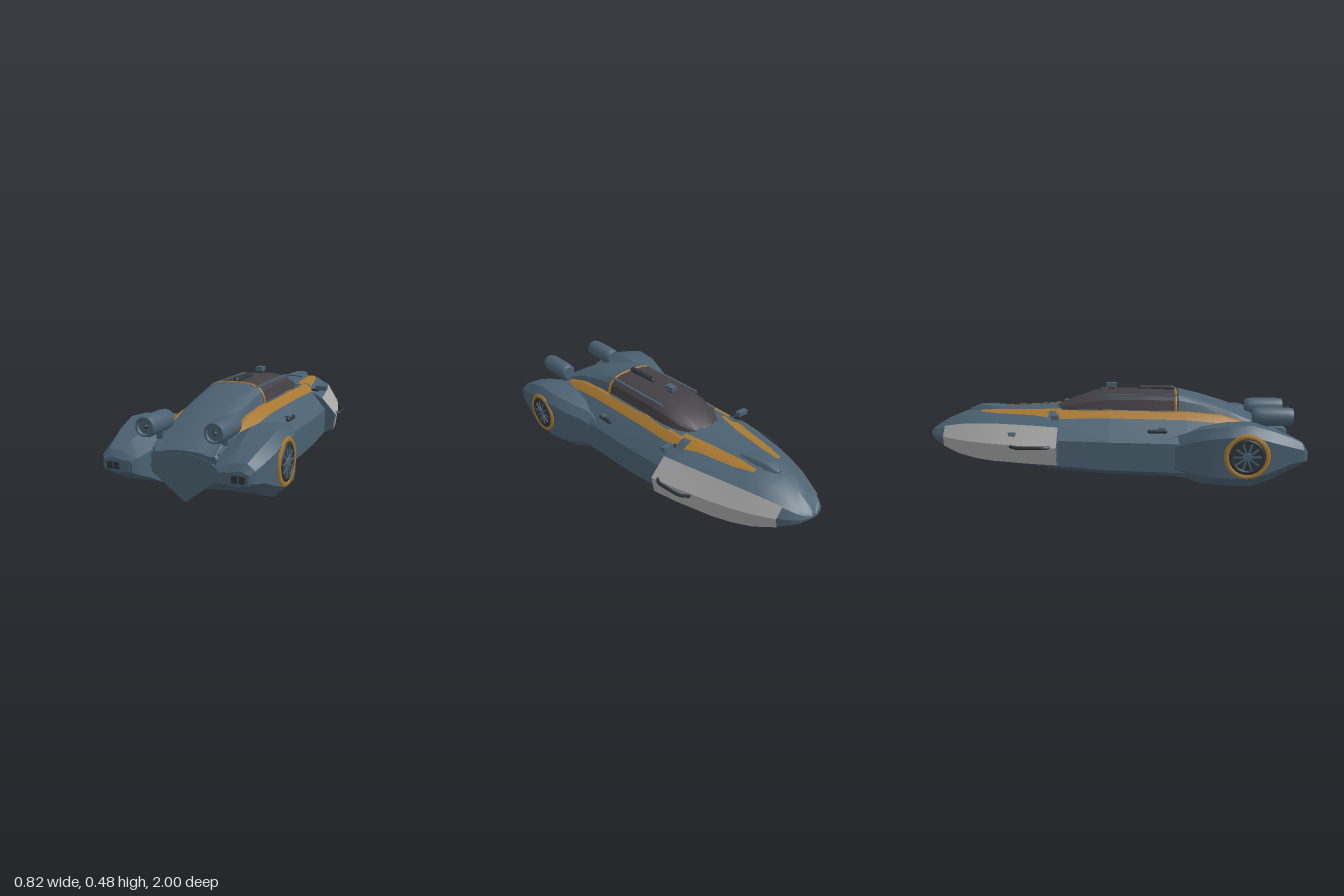
import * as THREE from 'three';
import { toCreasedNormals } from 'three/addons/utils/BufferGeometryUtils.js';

const mat = (color) => new THREE.MeshStandardMaterial({ color, side: THREE.DoubleSide });
const BLUE = mat(0x4a6070), ORANGE = mat(0xa5762f), PALE = mat(0xa6a6a6);
const GLASS = mat(0x433f43), DARK = mat(0x2c343b);

// Skin stretched over cross-sections; each row starts with its z
function skin(rows, profile, closed = true) {
  const rings = rows.map((r) => profile(r).map(([x, y]) => [x, y, r[0]]));
  const n = rings[0].length, pos = [], idx = [];
  rings.forEach((ring) => ring.forEach((p) => pos.push(...p)));
  for (let i = 0; i < rings.length - 1; i++) {
    for (let j = 0; j < (closed ? n : n - 1); j++) {
      const a = i * n + j, b = i * n + (j + 1) % n;
      idx.push(a, a + n, b, b, a + n, b + n);
    }
  }
  if (closed) [0, rings.length - 1].forEach((i) => {
    const c = pos.length / 3, mean = [0, 0, 0];
    rings[i].forEach((p) => p.forEach((v, k) => { mean[k] += v / n; }));
    pos.push(...mean);
    for (let j = 0; j < n; j++) {
      const a = i * n + j, b = i * n + (j + 1) % n;
      idx.push(c, i ? b : a, i ? a : b);
    }
  });
  const g = new THREE.BufferGeometry();
  g.setAttribute('position', new THREE.Float32BufferAttribute(pos, 3));
  g.setIndex(idx);
  return toCreasedNormals(g, 0.4);
}

// Half outline (top centre, round +x, to bottom centre) completed to a full ring
const mirrorRing = (half) => [...half, ...half.slice(1, -1).reverse().map(([x, y]) => [-x, y])];

export function createModel() {
  const model = new THREE.Group();
  const add = (name, geometry, material, x = 0, y = 0, z = 0, parent = model) => {
    const m = new THREE.Mesh(geometry, material);
    m.name = name;
    m.position.set(x, y, z);
    parent.add(m);
    return m;
  };
  const box = (w, h, d) => new THREE.BoxGeometry(w, h, d);

  // Main hull: z, half width, deck height, shoulder height, belt height, bottom; undercut at the tail
  const hullRows = [
    [-0.32, 0.29, 0.355, 0.33, 0.225, 0.045], [0, 0.3, 0.36, 0.335, 0.22, 0.025],
    [0.4, 0.3, 0.355, 0.33, 0.215, 0.015], [0.58, 0.3, 0.34, 0.315, 0.21, 0.012],
    [0.72, 0.3, 0.3, 0.285, 0.2, 0.016], [0.88, 0.26, 0.235, 0.225, 0.19, 0.12],
  ];
  add('hull', skin(hullRows, ([, w, top, sh, belt, bot]) => mirrorRing([
    [0, top], [0.17, top], [0.205, sh], [w, belt], [w, bot + 0.05], [w - 0.08, bot + 0.012], [0, bot]])), BLUE);

  // Nose: z, half width, top, edge height, lower edge, bottom
  const noseRows = [
    [-1, 0.03, 0.222, 0.217, 0.205, 0.2], [-0.98, 0.075, 0.238, 0.228, 0.192, 0.185],
    [-0.95, 0.105, 0.258, 0.238, 0.178, 0.167], [-0.9, 0.143, 0.288, 0.255, 0.16, 0.145],
    [-0.8, 0.195, 0.33, 0.275, 0.13, 0.11],
    [-0.7, 0.235, 0.348, 0.285, 0.115, 0.08], [-0.6, 0.27, 0.353, 0.29, 0.11, 0.07],
    [-0.4, 0.325, 0.36, 0.29, 0.11, 0.055], [-0.26, 0.352, 0.37, 0.285, 0.11, 0.045],
  ];
  add('nose', skin(noseRows, ([, w, top, edge, low, bot]) => mirrorRing([
    [0, top], [0.4 * w, top - 0.012], [0.78 * w, edge], [w, (edge + low) / 2],
    [0.96 * w, low], [0.5 * w, bot + 0.005], [0, bot]])), BLUE);

  // Hood scoop
  add('hoodScoop', skin([[-0.78, 0.015, 0.344], [-0.72, 0.045, 0.366], [-0.64, 0.058, 0.366], [-0.57, 0.065, 0.36]],
    ([, w, top]) => mirrorRing([[0, top], [w * 0.7, top - 0.003], [w, 0.335], [0, 0.33]])), BLUE);
  add('bellyVent', new THREE.CylinderGeometry(0.06, 0.055, 0.02, 20), DARK, 0, 0.077, -0.66);

  // Canopy: z, half width, top
  const canopyRows = [
    [-0.3, 0.04, 0.365], [-0.27, 0.1, 0.38], [-0.2, 0.14, 0.408], [-0.1, 0.157, 0.442],
    [0, 0.162, 0.456], [0.2, 0.165, 0.46], [0.36, 0.165, 0.455]];
  const cabin = ([, w, top, base = 0.34]) => mirrorRing([
    [0, top], [0.48 * w, top - 0.005], [0.72 * w, top - 0.018],
    [0.87 * w, top - 0.36 * (top - base)], [w, base], [0, base - 0.02]]);
  add('canopy', skin(canopyRows, cabin), GLASS);
  add('rearDeck', skin([
    [0.36, 0.167, 0.458, 0.34], [0.48, 0.165, 0.43, 0.33], [0.62, 0.162, 0.388, 0.31],
    [0.76, 0.165, 0.325, 0.27], [0.9, 0.17, 0.242, 0.2]], cabin), BLUE);

  // Hoop behind the cabin
  const hoopPath = new THREE.CatmullRomCurve3(
    [[-0.166, 0.34], [-0.145, 0.41], [-0.118, 0.436], [-0.08, 0.449], [0, 0.454],
      [0.08, 0.449], [0.118, 0.436], [0.145, 0.41], [0.166, 0.34]]
      .map(([x, y]) => new THREE.Vector3(x, y, 0.345)));
  add('cabinHoop', new THREE.TubeGeometry(hoopPath, 32, 0.007, 6), ORANGE);
  add('roofRidge', new THREE.CapsuleGeometry(0.016, 0.17, 4, 8).rotateX(Math.PI / 2), DARK, 0, 0.462, 0.24);
  add('roofSensorPost', box(0.022, 0.02, 0.03), DARK, 0, 0.462, 0);
  add('roofSensor', box(0.036, 0.024, 0.055), BLUE, 0, 0.477, 0);

  // Pointed tail plate with arched top edge
  const tail = new THREE.Shape();
  tail.moveTo(0, 0.005);
  tail.lineTo(0.19, 0.15);
  tail.bezierCurveTo(0.18, 0.21, 0.09, 0.232, 0, 0.232);
  tail.bezierCurveTo(-0.09, 0.232, -0.18, 0.21, -0.19, 0.15);
  const tailGeo = new THREE.ExtrudeGeometry(tail, { depth: 0.3, bevelEnabled: false });
  add('tailPlate', tailGeo, BLUE, 0, 0, 0.595);
  add('tailInset', tailGeo, BLUE, 0, 0.022, 0.603).scale.set(0.87, 0.88, 1);

  // Everything that is built once and mirrored
  const side = new THREE.Group();
  side.name = 'leftSide';
  const put = (name, g, m, x, y, z) => add(name, g, m, x, y, z, side);

  put('nosePanel', skin(noseRows.slice(3), ([, w, , edge, low]) => [
    [0.78 * w, edge + 0.005], [w + 0.006, (edge + low) / 2], [0.96 * w + 0.004, low - 0.003]], false), PALE);
  // Hood stripe following the hood crease: inner and outer share of the half width
  const stripe = [[0.3, 0.36], [0.27, 0.48], [0.3, 0.52], [0.36, 0.62]];
  put('hoodStripe', skin(noseRows.slice(5).map((r, i) => [...r, ...stripe[i]]), ([, w, top, edge, , , u0, u1]) =>
    [[u0 * w, top - 0.03 * u0 + 0.005], [0.4 * w, top - 0.007],
      [Math.max(u1, 0.41) * w, THREE.MathUtils.lerp(top - 0.012, edge, (Math.max(u1, 0.41) - 0.4) / 0.38) + 0.005]], false), ORANGE);
  put('cabinTrim', skin([[-0.28, 0.36], [0, 0.366], [0.4, 0.361], [0.58, 0.346], [0.72, 0.306]],
    ([, y]) => [[0.158, y], [0.175, y - 0.002], [0.207, y - 0.026], [0.216, y - 0.036]], false), ORANGE);
  put('windowSill', box(0.012, 0.014, 0.5), BLUE, 0.164, 0.358, 0.08);
  put('roofRail', box(0.012, 0.012, 0.42), BLUE, 0.12, 0.437, 0.14);

  // Rear wheel pod: z, outer x, top, bottom, inner x
  const podRows = [
    [0.28, 0.285, 0.225, 0.05, 0.2], [0.4, 0.315, 0.27, 0.03, 0.18], [0.47, 0.365, 0.3, 0.02, 0.16],
    [0.6, 0.4, 0.322, 0.018, 0.15], [0.72, 0.403, 0.328, 0.02, 0.15], [0.82, 0.393, 0.298, 0.055, 0.155],
    [0.91, 0.377, 0.265, 0.1, 0.165], [0.97, 0.363, 0.235, 0.125, 0.185], [0.99, 0.345, 0.205, 0.14, 0.205]];
  put('wheelPod', skin(podRows, ([, xo, top, bot, xi]) => {
    const c = Math.min(0.05, (top - bot) * 0.25);
    return [[xi, top - c], [xi + 0.09, top], [xo - 0.035, top], [xo, top - c],
      [xo, bot + c], [xo - 0.05, bot], [xi, bot + 0.005]];
  }), BLUE);

  // Wheel
  const wheel = new THREE.Group();
  wheel.name = 'wheel';
  wheel.position.set(0.397, 0.178, 0.69);
  wheel.rotation.y = Math.PI / 2;
  side.add(wheel);
  add('wheelSurround', new THREE.TorusGeometry(0.1, 0.014, 6, 32), ORANGE, 0, 0, 0, wheel).scale.z = 0.7;
  add('tyre', new THREE.TorusGeometry(0.077, 0.011, 8, 32), DARK, 0, 0, 0, wheel);
  add('wheelDisc', new THREE.CircleGeometry(0.09, 32), DARK, 0, 0, 0.006, wheel);
  add('hub', new THREE.CylinderGeometry(0.02, 0.026, 0.01, 12).rotateX(Math.PI / 2), BLUE, 0, 0, 0.007, wheel);
  for (let i = 0; i < 10; i++) {
    const a = i * Math.PI / 5;
    add('spoke', box(0.048, 0.009, 0.006), BLUE, Math.cos(a) * 0.045, Math.sin(a) * 0.045, 0.007, wheel).rotation.z = a;
  }

  // Exhaust: shallow turned barrel with a small nozzle
  const barrel = [[0, 0], [0.036, 0], [0.046, 0.015], [0.049, 0.05], [0.049, 0.18], [0.044, 0.205],
    [0.037, 0.205], [0.034, 0.19], [0, 0.19]].map(([x, y]) => new THREE.Vector2(x, y));
  put('exhaust', toCreasedNormals(new THREE.LatheGeometry(barrel, 20).rotateX(Math.PI / 2), 0.5), BLUE, 0.165, 0.34, 0.74);
  put('exhaustNozzle', new THREE.ConeGeometry(0.012, 0.015, 8).rotateX(Math.PI / 2), DARK, 0.165, 0.34, 0.936);
  put('exhaustMount', box(0.03, 0.06, 0.07), BLUE, 0.16, 0.29, 0.79);

  // Tail lights
  put('lightHousing', box(0.125, 0.05, 0.05), BLUE, 0.28, 0.172, 0.968);
  for (const x of [0.28, 0.313]) {
    put('tailLight', box(0.027, 0.032, 0.02), DARK, x, 0.17, 0.988);
  }

  // Mirror, door handle and nose grab rail
  put('mirrorStalk', box(0.05, 0.012, 0.016), DARK, 0.225, 0.33, -0.27);
  put('mirror', box(0.06, 0.024, 0.03), BLUE, 0.265, 0.343, -0.275);
  put('doorHandle', new THREE.CapsuleGeometry(0.011, 0.08, 3, 8).rotateX(Math.PI / 2), DARK, 0.262, 0.273, 0.25);
  put('doorLatch', box(0.03, 0.02, 0.03), BLUE, 0.255, 0.28, 0.27);
  const rail = new THREE.CatmullRomCurve3([[0.315, 0.195, -0.5], [0.347, 0.195, -0.46], [0.36, 0.2, -0.38],
    [0.36, 0.2, -0.32], [0.34, 0.2, -0.29]].map((p) => new THREE.Vector3(...p)));
  put('noseRail', new THREE.TubeGeometry(rail, 20, 0.009, 6), DARK);

  model.add(side);
  const mirrored = side.clone();
  mirrored.name = 'rightSide';
  mirrored.scale.x = -1;
  model.add(mirrored);
  return model;
}
